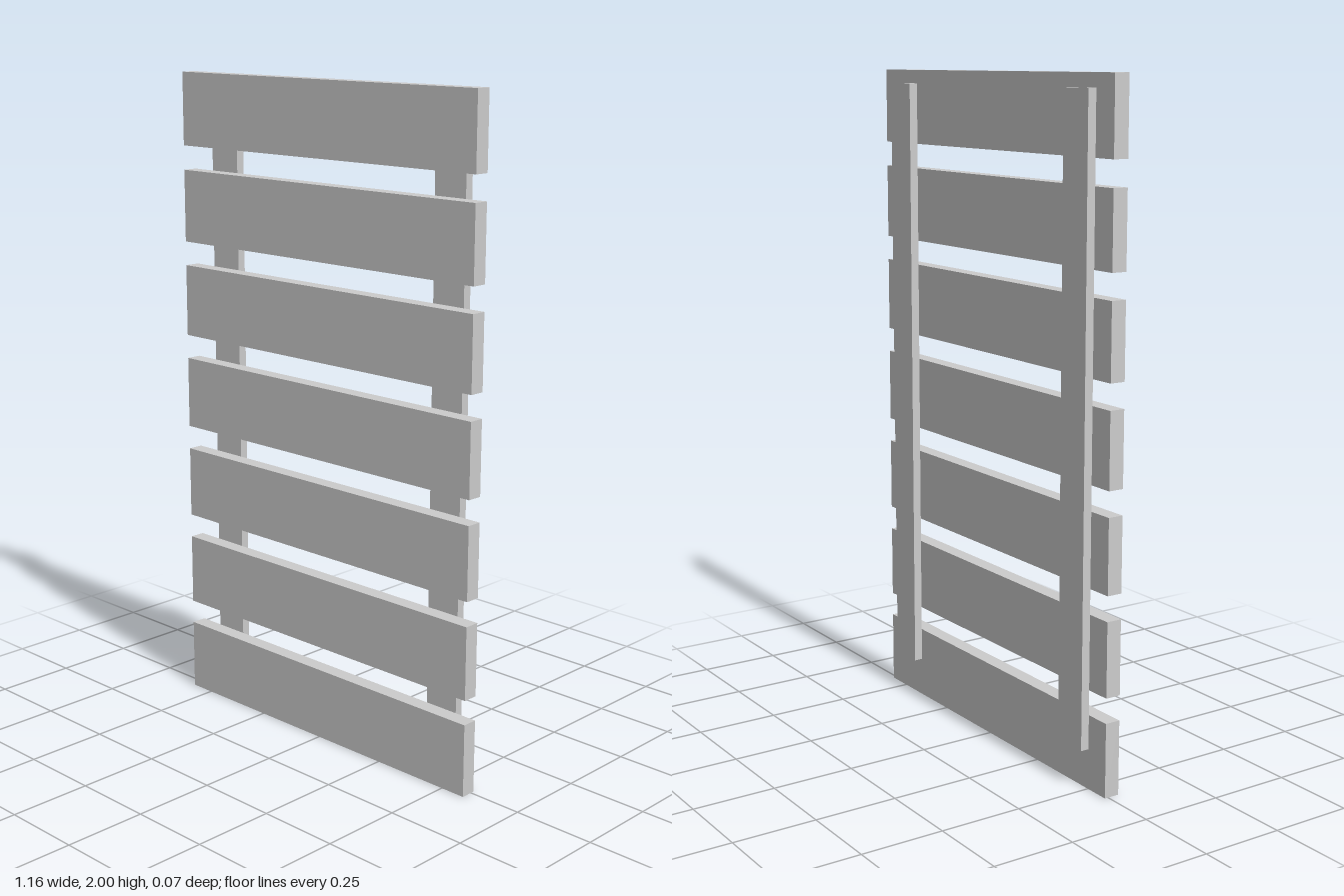
import * as THREE from 'three';

const material = new THREE.MeshStandardMaterial({ color: 0xcccccc });

// Box given by its minimum and maximum corners
function board(name, [x0, y0, z0], [x1, y1, z1]) {
  const mesh = new THREE.Mesh(new THREE.BoxGeometry(x1 - x0, y1 - y0, z1 - z0), material);
  mesh.position.set((x0 + x1) / 2, (y0 + y1) / 2, (z0 + z1) / 2);
  mesh.name = name;
  return mesh;
}

export function createModel() {
  const group = new THREE.Group();
  group.name = 'slattedPanel';

  const front = 0.036, joint = -0.011, back = -0.037;

  // Seven evenly spaced horizontal slats
  const count = 7, slatHeight = 0.222;
  const pitch = (2 - slatHeight) / (count - 1);
  for (let i = 0; i < count; i++) {
    const y = i * pitch;
    group.add(board(`slat${i + 1}`, [-0.58, y, joint], [0.58, y + slatHeight, front]));
  }

  // Two upright battens behind the slats, set slightly off centre
  const battenWidth = 0.11;
  for (const [name, x] of [['rightBatten', -0.446], ['leftBatten', 0.453]]) {
    group.add(board(name, [x - battenWidth / 2, 0.12, back], [x + battenWidth / 2, 1.96, joint]));
  }

  return group;
}
